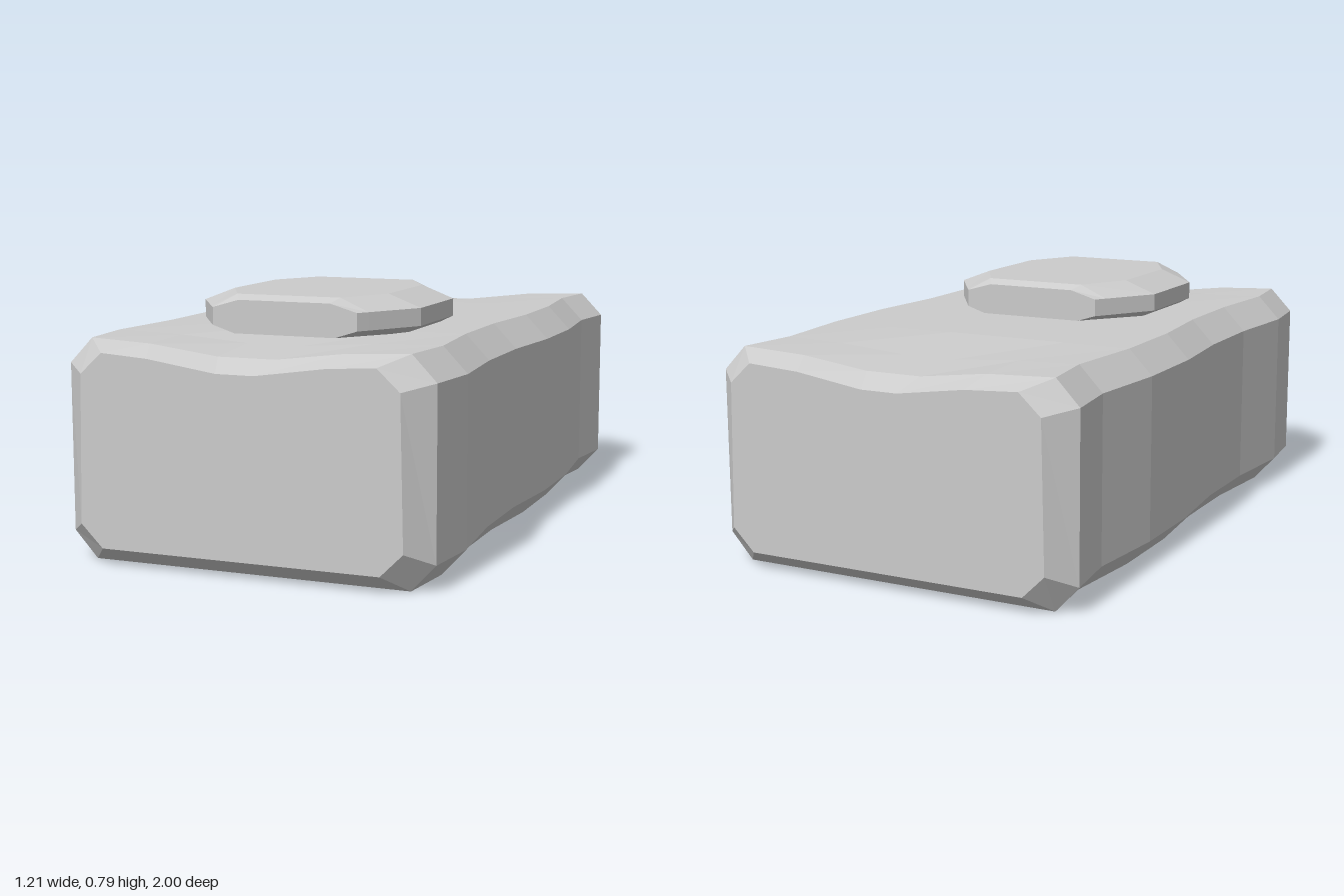
import * as THREE from 'three';

// Skins a row of symmetric cross-sections running from back (-z) to front (+z).
// half: right-hand outline points [x, y], from the bottom up.
function loft(name, sections, material) {
  const rings = sections.map(({ z, half }) => {
    const left = half.map(([x, y]) => [-x, y]).reverse();
    return [...half, ...left].map(([x, y]) => [x, y, z]);
  });
  const n = rings[0].length;
  const index = [];
  for (let i = 0; i < rings.length - 1; i++) {
    for (let k = 0; k < n; k++) {
      const a = i * n + k, b = i * n + (k + 1) % n;
      index.push(a, b, b + n, a, b + n, a + n);
    }
  }
  const last = (rings.length - 1) * n;
  for (let k = 1; k < n - 1; k++) {
    index.push(0, k + 1, k); // back cap
    index.push(last, last + k, last + k + 1); // front cap
  }
  const geometry = new THREE.BufferGeometry();
  geometry.setAttribute('position', new THREE.Float32BufferAttribute(rings.flat(2), 3));
  geometry.setIndex(index);
  geometry.computeVertexNormals();
  const mesh = new THREE.Mesh(geometry, material);
  mesh.name = name;
  return mesh;
}

// Body section: chamfered corners, with the top sagging by dip in the middle.
function bodySection(z, x, dip) {
  const inner = x - 0.075;
  return {
    z,
    half: [
      [inner, 0], [x, 0.082], [x, 0.597], [inner, 0.675],
      [0.31, 0.675 - dip * 0.25], [0.09, 0.675 - dip],
    ],
  };
}

// Bevelled end face; grow widens it to suit the neighbouring section.
function endSection(z, grow) {
  return {
    z,
    half: [
      [0.44 + grow, 0.055], [0.51 + grow, 0.125], [0.50 + grow, 0.577], [0.43 + grow, 0.642],
      [0.28, 0.632], [0.06, 0.60],
    ],
  };
}

// Raised button section: flat sides with bevels above and below.
function buttonSection(z, x, topX, topY, lowX) {
  return { z, half: [[lowX, 0.672], [x, 0.695], [x, 0.75], [topX, topY]] };
}

export function createModel() {
  const group = new THREE.Group();
  const material = new THREE.MeshStandardMaterial({ color: 0xcccccc, flatShading: true });

  // Long block with gently wavy sides
  group.add(loft('body', [
    endSection(-1, 0.02),
    bodySection(-0.92, 0.60, 0.037),
    bodySection(-0.72, 0.575, 0.022),
    bodySection(-0.43, 0.603, 0),
    bodySection(-0.14, 0.603, 0),
    bodySection(0.14, 0.577, 0),
    bodySection(0.43, 0.577, 0),
    bodySection(0.72, 0.603, 0.022),
    bodySection(0.92, 0.58, 0.037),
    endSection(1, 0),
  ], material));

  // Eight-sided button on the top, toward the front
  group.add(loft('topButton', [
    buttonSection(-0.055, 0.237, 0.15, 0.775, 0.165),
    buttonSection(-0.02, 0.26, 0.17, 0.79, 0.19),
    buttonSection(0.14, 0.365, 0.26, 0.79, 0.32),
    buttonSection(0.45, 0.365, 0.26, 0.79, 0.32),
    buttonSection(0.62, 0.26, 0.17, 0.79, 0.19),
    buttonSection(0.655, 0.237, 0.15, 0.775, 0.165),
  ], material));

  return group;
}
